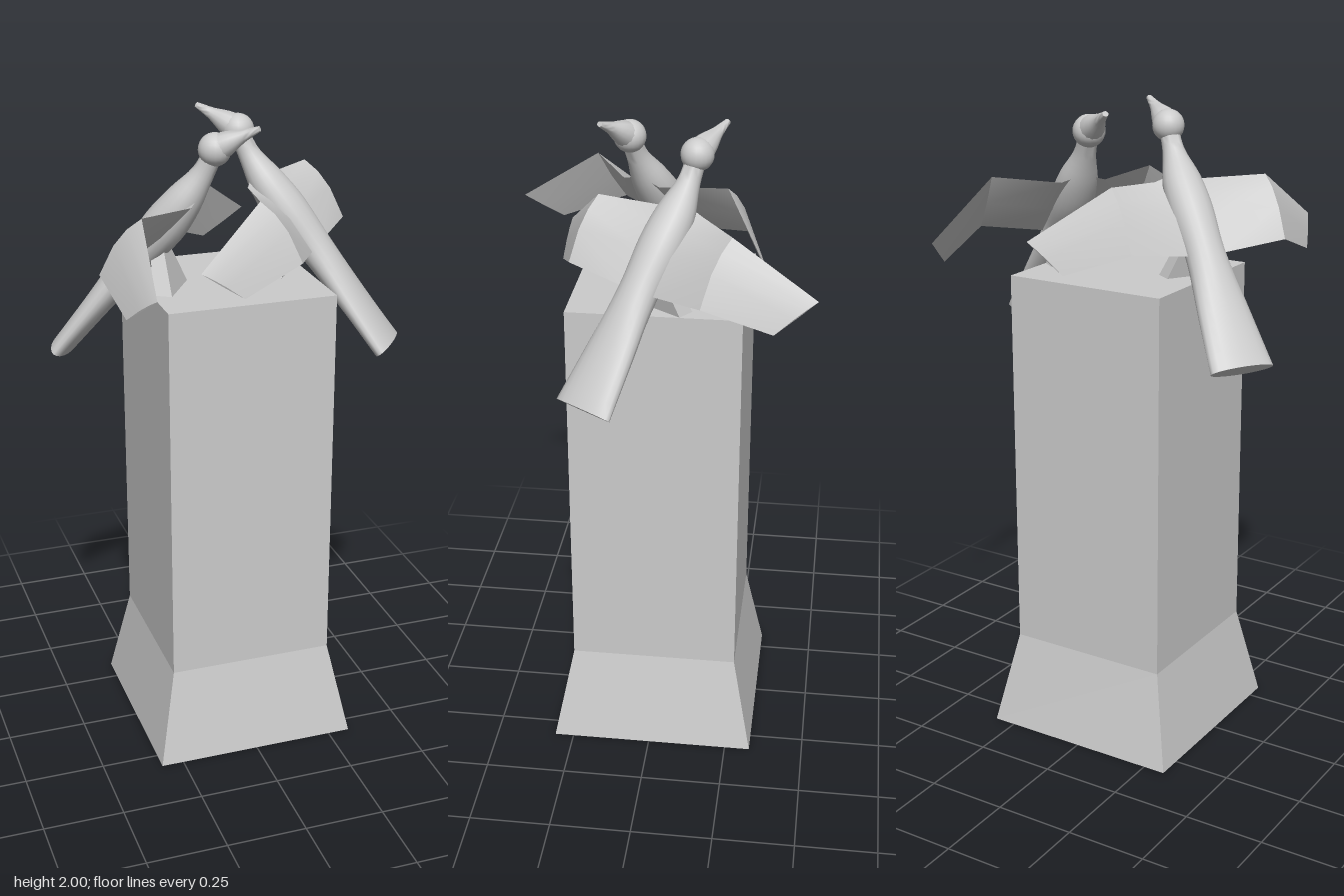
import * as THREE from 'three';
import { toCreasedNormals } from 'three/addons/utils/BufferGeometryUtils.js';

const V = (x, y, z) => new THREE.Vector3(x, y, z);
const material = new THREE.MeshStandardMaterial({ color: 0xcccccc });

// Skin closed rings of points into a capped solid, facing outwards
function loft(name, rings, crease = 0.7) {
  const n = rings[0].length;
  const pts = rings.flat();
  const tris = [];
  for (let r = 0; r < rings.length - 1; r++) {
    for (let i = 0; i < n; i++) {
      const a = r * n + i, b = r * n + (i + 1) % n;
      tris.push([a, b, a + n], [b, b + n, a + n]);
    }
  }
  const last = (rings.length - 1) * n;
  for (let i = 1; i < n - 1; i++) tris.push([0, i + 1, i], [last, last + i, last + i + 1]);
  // a negative volume means the faces point inwards
  let volume = 0;
  for (const [a, b, c] of tris) volume += pts[a].dot(V(0, 0, 0).crossVectors(pts[b], pts[c]));
  if (volume < 0) tris.forEach((t) => t.reverse());
  const geometry = new THREE.BufferGeometry().setFromPoints(pts);
  geometry.setIndex(tris.flat());
  const mesh = new THREE.Mesh(toCreasedNormals(geometry, crease), material);
  mesh.name = name;
  return mesh;
}

// Elliptical tube in the bird's mid-plane; stations are [z, y, halfWidth, halfDepth]
function ovalTube(name, stations, sides = 20) {
  const path = new THREE.CatmullRomCurve3(stations.map(([z, y]) => V(0, y, z)), false, 'centripetal');
  const size = new THREE.CatmullRomCurve3(stations.map(([, , w, d], i) => V(w, d, i)), false, 'centripetal');
  const steps = (stations.length - 1) * 4;
  const rings = [];
  for (let k = 0; k <= steps; k++) {
    const c = path.getPoint(k / steps), t = path.getTangent(k / steps), s = size.getPoint(k / steps);
    const ring = [];
    for (let i = 0; i < sides; i++) {
      const a = (i / sides) * Math.PI * 2;
      const d = s.y * Math.sin(a);
      ring.push(V(s.x * Math.cos(a), c.y + d * t.z, c.z - d * t.y));
    }
    rings.push(ring);
  }
  return loft(name, rings, 1);
}

// Thin cambered wing from chords: leading and trailing edge points and thickness
function wing(name, side) {
  const up = V(0, 0.62, -0.78);
  const chords = [
    [V(0, 1.79, -0.04), V(0, 1.56, -0.25), 0.03],
    [V(0.07, 1.77, -0.046), V(0.062, 1.585, -0.247), 0.026],
    [V(0.257, 1.785, -0.138), V(0.255, 1.61, -0.268), 0.018],
    [V(0.48, 1.625, -0.03), V(0.413, 1.54, -0.14), 0.004],
  ];
  const rings = chords.map(([lead, trail, h]) => [
    lead.clone(),
    lead.clone().lerp(trail, 0.25).addScaledVector(up, h * 0.85),
    lead.clone().lerp(trail, 0.55).addScaledVector(up, h),
    trail.clone(),
    lead.clone().lerp(trail, 0.5).addScaledVector(up, -h * 0.3),
  ].map((p) => p.setX(p.x * side)));
  return loft(name, rings, 0.6);
}

// Rectangle of corners at a height
const rect = (y, hx, hz, cz = 0) =>
  [[-1, -1], [1, -1], [1, 1], [-1, 1]].map(([i, j]) => V(i * hx, y, cz + j * hz));

// Bird facing +z, rearing up with its tail hanging low behind
function makeBird() {
  const bird = new THREE.Group();
  bird.add(
    ovalTube('bodyAndTail', [
      [-0.475, 1.292, 0.103, 0.032],
      [-0.36, 1.435, 0.083, 0.04],
      [-0.244, 1.58, 0.062, 0.052],
      [-0.15, 1.69, 0.068, 0.065],
      [-0.085, 1.775, 0.06, 0.055],
      [-0.03, 1.855, 0.034, 0.034],
      [0.003, 1.92, 0.03, 0.03],
    ]),
    ovalTube('beak', [
      [0.01, 1.93, 0.044, 0.044],
      [0.05, 1.952, 0.034, 0.033],
      [0.09, 1.972, 0.019, 0.018],
      [0.138, 1.995, 0.009, 0.008],
    ], 14),
    wing('leftWing', 1),
    wing('rightWing', -1),
    // tapered perch joining the belly to the plinth
    loft('perch', [rect(1.495, 0.085, 0.028, -0.13), rect(1.65, 0.02, 0.02, -0.17)]),
  );
  const head = new THREE.Mesh(new THREE.SphereGeometry(0.049, 20, 14), material);
  head.name = 'head';
  head.position.set(0, 1.928, 0.006);
  bird.add(head);
  bird.rotation.y = Math.atan2(-0.81, -0.58);
  bird.position.set(0.08, 0, -0.112);
  return bird;
}

export function createModel() {
  const model = new THREE.Group();
  model.name = 'birdMonument';

  // Square plinth with a flared foot
  const plinth = loft('plinth', [rect(0, 0.32, 0.32), rect(0.3, 0.26, 0.26), rect(1.5, 0.26, 0.26)], 0.15);
  plinth.position.z = -0.01;
  model.add(plinth);

  // Two birds circling each other
  [['firstBird', 0, 0], ['secondBird', Math.PI + 0.05, -0.02]].forEach(([name, turn, z]) => {
    const pivot = new THREE.Group();
    pivot.name = name;
    pivot.rotation.y = turn;
    pivot.position.z = z;
    pivot.add(makeBird());
    model.add(pivot);
  });
  return model;
}
